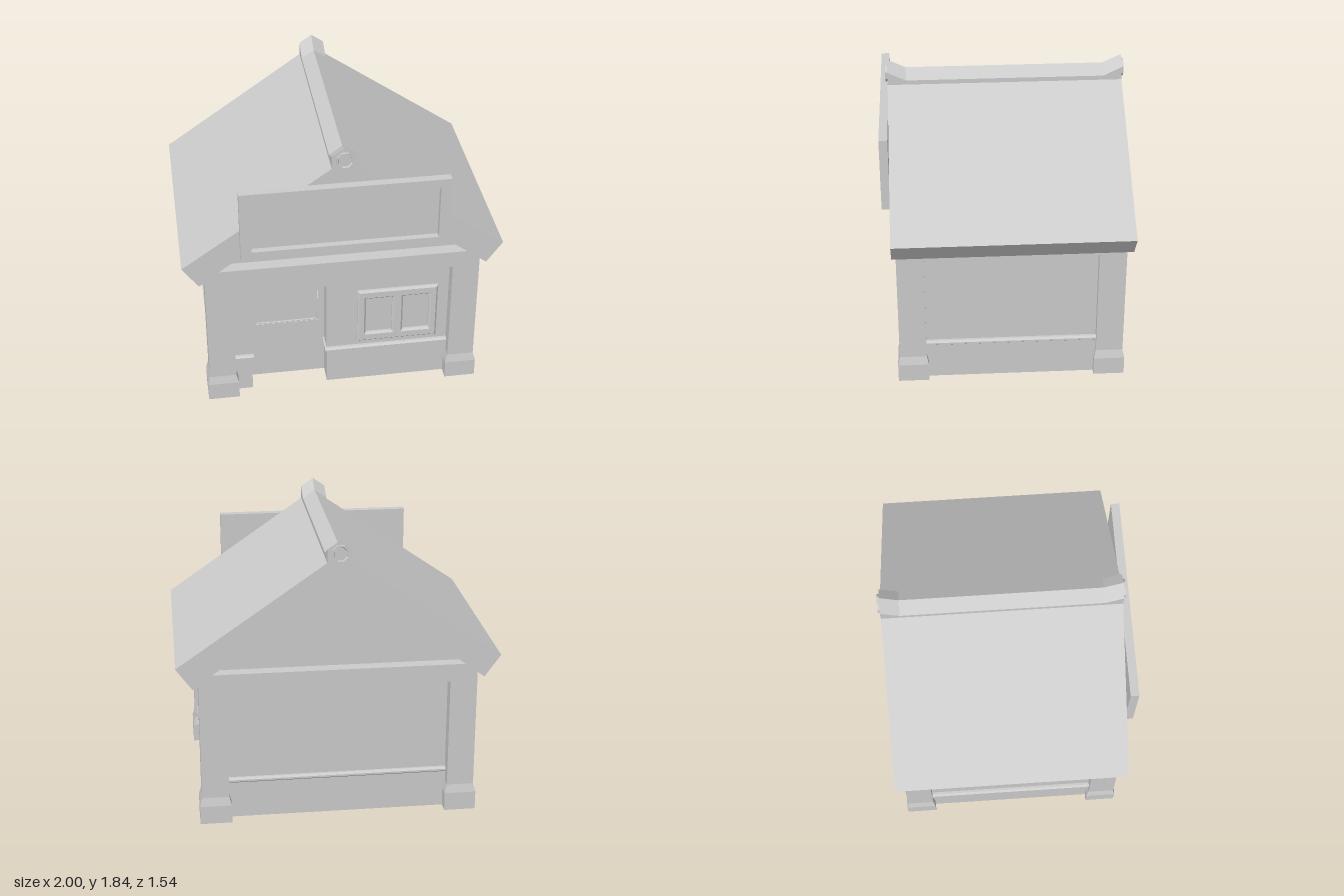
import * as THREE from 'three';

const mat = new THREE.MeshStandardMaterial({ color: 0xcccccc, flatShading: true, side: THREE.DoubleSide });

function add(parent, name, geometry, x = 0, y = 0, z = 0, ry = 0) {
  const mesh = new THREE.Mesh(geometry, mat);
  mesh.name = name;
  mesh.position.set(x, y, z);
  mesh.rotation.y = ry;
  parent.add(mesh);
  return mesh;
}

const poly = (pts) => new THREE.Shape(pts.map(([x, y]) => new THREE.Vector2(x, y)));
const rect = (x0, y0, x1, y1) => poly([[x0, y0], [x1, y0], [x1, y1], [x0, y1]]);

function cut(shape, holes) {
  shape.holes.push(...holes.map((h) => rect(...h)));
  return shape;
}

// Flat outline extruded towards +z, optionally with a bevelled edge
function slab(shape, depth, bevel = 0) {
  return new THREE.ExtrudeGeometry(shape, {
    depth, bevelEnabled: bevel > 0, bevelSize: bevel, bevelThickness: bevel, bevelOffset: -bevel, bevelSegments: 1,
  });
}

// Moulded ledge running along local x, standing out towards local +z
function ledge(parent, length, x, z, ry) {
  const profile = poly([[0, 0.24], [0.015, 0.24], [0.028, 0.25], [0.028, 0.262], [0.015, 0.272], [0, 0.272]]);
  const g = slab(profile, length);
  g.translate(0, 0, -length / 2).rotateY(-Math.PI / 2);
  add(parent, 'ledge', g, x, 0, z, ry);
}

// Corner pillar with a flared foot
function pillarGeometry() {
  const g = new THREE.BoxGeometry(1, 3, 1, 1, 3, 1);
  const levels = [[0, 0.2, 0.195], [0.12, 0.2, 0.195], [0.175, 0.17, 0.17], [0.95, 0.17, 0.17]];
  const p = g.attributes.position;
  for (let i = 0; i < p.count; i++) {
    const [y, w, d] = levels[Math.round(p.getY(i) + 1.5)];
    p.setXYZ(i, p.getX(i) * w, y, p.getZ(i) * d);
  }
  g.computeVertexNormals();
  return g;
}

// Ridge cap whose ends sweep upwards
function ridgeGeometry() {
  const g = new THREE.ExtrudeGeometry(
    poly([[-0.08, 1.62], [0.08, 1.62], [0.08, 1.785], [0, 1.84], [-0.08, 1.785]]),
    { depth: 3, steps: 3, bevelEnabled: false });
  const stations = [-0.7375, -0.6225, 0.6225, 0.7375];
  const p = g.attributes.position;
  for (let i = 0; i < p.count; i++) {
    const s = Math.round(p.getZ(i));
    if ((s === 1 || s === 2) && p.getY(i) > 1.7) p.setY(i, p.getY(i) - 0.055);
    p.setZ(i, stations[s]);
  }
  g.computeVertexNormals();
  return g;
}

// Wall skin with a plinth standing slightly proud below a ledge
function panelWall(parent, name, length, x, z, ry) {
  const wall = new THREE.Group();
  wall.name = name;
  wall.position.set(x, 0, z);
  wall.rotation.y = ry;
  parent.add(wall);
  add(wall, 'panel', new THREE.PlaneGeometry(length, 0.7), 0, 0.6, 0);
  add(wall, 'plinth', new THREE.PlaneGeometry(length, 0.245), 0, 0.1225, 0.015);
  ledge(wall, length, 0, 0, 0);
}

export function createModel() {
  const model = new THREE.Group();
  model.name = 'shop';
  const house = new THREE.Group();
  house.name = 'house';
  house.position.z = -0.0175;
  model.add(house);

  // Pillars
  for (const sx of [-1, 1]) for (const sz of [-1, 1])
    add(house, 'pillar', pillarGeometry(), sx * 0.78, 0, sz * 0.6225);

  // Side walls, with a beam above, and the back wall
  for (const s of [-1, 1]) {
    panelWall(house, 'sideWall', 1.08, s * 0.822, 0, s * Math.PI / 2);
    add(house, 'sideBeam', new THREE.BoxGeometry(0.06, 0.07, 1.4), s * 0.835, 0.925, 0);
  }
  panelWall(house, 'backWall', 1.4, 0, -0.6275, Math.PI);

  // Front and back beams and recessed gables
  for (const s of [-1, 1]) {
    const beam = slab(poly([[-0.865, 0.89], [0.865, 0.89], [0.865, 0.955], [0.8, 1.003], [-0.8, 1.003], [-0.865, 0.955]]), 0.08);
    add(house, 'gableBeam', beam, 0, 0, s > 0 ? 0.6275 : -0.7075);
    add(house, 'gable', new THREE.ShapeGeometry(poly([[-0.83, 0.99], [0.83, 0.99], [0, 1.61]])),
      0, 0, s * 0.6275, s > 0 ? 0 : Math.PI);
  }

  // Front wall around the doorway
  const left = -0.586, right = -0.096, top = 0.762;
  const front = poly([[-0.7, 0.245], [left, 0.245], [left, top], [right, top], [right, 0.245], [0.7, 0.245], [0.7, 0.95], [-0.7, 0.95]]);
  add(house, 'frontWall', new THREE.ShapeGeometry(front), 0, 0, 0.6275);
  for (const [x0, x1, padL, padR] of [[-0.7, left, 0, 0.012], [right, 0.7, 0.012, 0]]) {
    add(house, 'frontPlinth', new THREE.ShapeGeometry(rect(x0, 0, x1, 0.245)), 0, 0, 0.6425);
    ledge(house, x1 - x0 + padL + padR, (x0 + x1 + padR - padL) / 2, 0.6275, 0);
  }

  // Doorway reveal
  for (const [x, s] of [[left, 1], [right, -1]]) {
    const turn = s * Math.PI / 2;
    add(house, 'doorJamb', new THREE.PlaneGeometry(0.11, top), x, top / 2, 0.5725, turn);
    add(house, 'doorJambPlinth', new THREE.PlaneGeometry(0.015, 0.245), x, 0.1225, 0.635, turn);
    ledge(house, 0.125, x - s * 0.016, 0.58, turn);
  }
  add(house, 'doorLintel', new THREE.PlaneGeometry(right - left, 0.11).rotateX(Math.PI / 2), (left + right) / 2, top, 0.5725);

  // Door with a recessed pane
  const pane = [-0.543, 0.417, -0.137, 0.733];
  add(house, 'door', new THREE.ShapeGeometry(cut(rect(left, 0, right, top), [pane])), 0, 0, 0.5175);
  add(house, 'doorPaneTrim', slab(cut(rect(...pane), [[-0.536, 0.424, -0.144, 0.726]]), 0.014), 0, 0, 0.5015);
  add(house, 'doorPane', new THREE.PlaneGeometry(0.392, 0.302), -0.34, 0.575, 0.504);

  // Twin window
  const twinWindow = cut(rect(0.1, 0.32, 0.62, 0.72), [[0.155, 0.385, 0.325, 0.655], [0.395, 0.385, 0.565, 0.655]]);
  add(house, 'windowFrame', slab(twinWindow, 0.012, 0.012), 0, 0, 0.6405);
  add(house, 'windowPanes', new THREE.PlaneGeometry(0.48, 0.34), 0.36, 0.52, 0.636);

  // Roof
  const roofTop = new THREE.Group();
  roofTop.name = 'roofTop';
  roofTop.position.z = -0.005;
  house.add(roofTop);
  add(roofTop, 'roof', slab(poly([[1, 1.067], [0, 1.757], [-1, 1.067], [-0.9, 0.927], [0, 1.6], [0.9, 0.927]]), 1.475), 0, 0, -0.7375);
  add(roofTop, 'ridgeCap', ridgeGeometry());

  // Round ornaments on the ridge ends
  const ring = [[0.058, -0.01], [0.058, 0.014], [0.046, 0.014], [0.042, 0.005], [0, 0.005]].map(([x, y]) => new THREE.Vector2(x, y));
  for (const s of [-1, 1]) {
    const g = new THREE.LatheGeometry(ring, 8, Math.PI / 8).rotateX(Math.PI / 2);
    add(roofTop, 'ridgeOrnament', g, 0, 1.755, s * 0.7375, s > 0 ? 0 : Math.PI);
  }

  // Sign board with raised border
  const sign = new THREE.Group();
  sign.name = 'signBoard';
  model.add(sign);
  const field = [-0.575, 1.186, 0.575, 1.538];
  add(sign, 'signPanel', slab(rect(...field), 0.013), 0, 0, 0.715);
  add(sign, 'signBorder', slab(cut(rect(-0.64, 1.127, 0.64, 1.6), [field]), 0.053), 0, 0, 0.715);

  return model;
}
